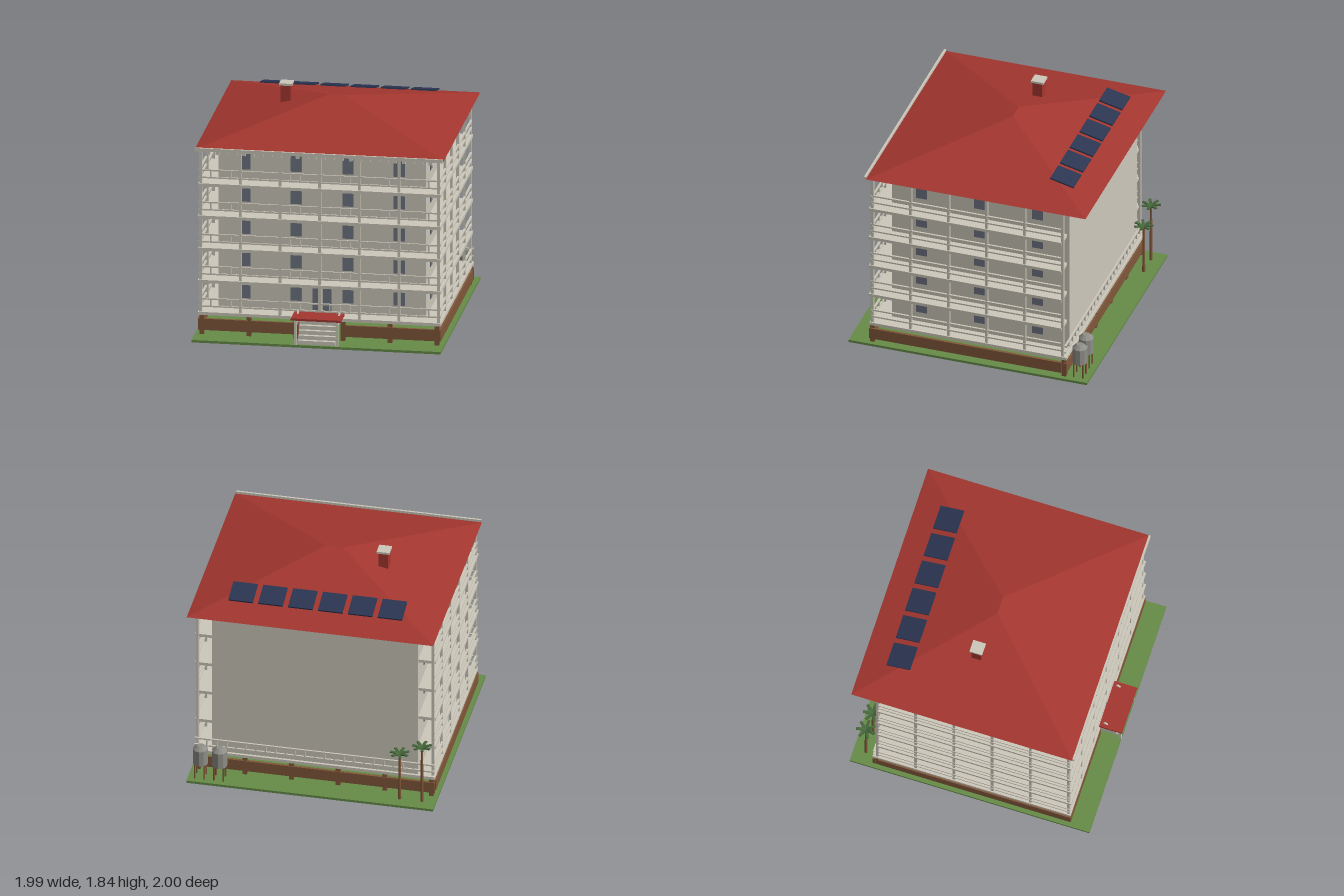
import * as THREE from 'three';

const mat = (name, color, side = THREE.FrontSide) => {
  const m = new THREE.MeshStandardMaterial({ color, side });
  m.name = name;
  return m;
};

export function createModel() {
  const root = new THREE.Group();
  root.name = 'apartmentBlock';
  const plaster = mat('plaster', 0xcdc8bb), glass = mat('windowGlass', 0x6d7382);
  const red = mat('roofRed', 0xa3362f), grass = mat('grass', 0x668c48);
  const wood = mat('brownWood', 0x80573a), navy = mat('solarNavy', 0x2c3652);
  const leaf = mat('palmLeaf', 0x45663a), metal = mat('tankMetal', 0x8f8e88);
  metal.flatShading = true;

  const group = (name, parent = root) => {
    const g = new THREE.Group();
    g.name = name;
    parent.add(g);
    return g;
  };
  const add = (parent, name, geo, m, x = 0, y = 0, z = 0) => {
    const mesh = new THREE.Mesh(geo, m);
    mesh.name = name;
    mesh.position.set(x, y, z);
    parent.add(mesh);
    return mesh;
  };
  // box given by its lower and upper limits on each axis
  const box = (parent, name, m, x0, x1, y0, y1, z0, z1) =>
    add(parent, name, new THREE.BoxGeometry(x1 - x0, y1 - y0, z1 - z0), m,
      (x0 + x1) / 2, (y0 + y1) / 2, (z0 + z1) / 2);
  // square bar between two points in a plane of constant x
  const slopedBar = (parent, name, m, x, y0, z0, y1, z1, t) => {
    const b = add(parent, name, new THREE.BoxGeometry(t, t, Math.hypot(y1 - y0, z1 - z0)), m,
      x, (y0 + y1) / 2, (z0 + z1) / 2);
    b.rotation.x = -Math.atan2(y1 - y0, z1 - z0);
    return b;
  };

  // ground and main block
  box(root, 'lawn', grass, -0.995, 0.995, 0, 0.02, -1, 0.985);
  box(root, 'mainBlock', plaster, -0.83, 0.83, 0.2, 1.55, -0.8, 0.68);

  // raised base with piers and plank bands
  const base = group('base');
  box(base, 'baseSlab', plaster, -0.97, 0.97, 0.178, 0.203, -0.82, 0.82);
  for (const z of [-0.795, 0.8])
    for (let i = 0; i < 6; i++) {
      const x = -0.94 + i * 0.376;
      box(base, 'pier', wood, x - 0.018, x + 0.018, 0.02, 0.178, z - 0.018, z + 0.018);
    }
  for (const s of [-1, 1]) {
    box(base, 'frontBand', wood, s < 0 ? -0.97 : 0.18, s < 0 ? -0.18 : 0.97, 0.055, 0.148, 0.8, 0.822);
    box(base, 'sideBand', wood, s * 0.96 - 0.011, s * 0.96 + 0.011, 0.055, 0.148, -0.775, 0.8);
  }
  box(base, 'backBand', wood, -0.97, 0.97, 0.055, 0.148, -0.82, -0.798);

  // galleries: posts, slabs, rails and balusters
  const galleries = group('galleries');
  const post = (x, z) => box(galleries, 'post', plaster, x - 0.011, x + 0.011, 0.2, 1.55, z - 0.011, z + 0.011);
  for (let i = 0; i < 7; i++) post(-0.95 + i * 0.3167, 0.8);
  for (const x of [-0.95, 0.95])
    for (let i = 1; i < 6; i++) post(x, 0.8 - i * 0.3165);
  const longRailing = (y, z) => {
    for (const dy of [0.045, 0.105])
      box(galleries, 'rail', plaster, -0.968, 0.968, y + dy - 0.006, y + dy + 0.006, z - 0.007, z + 0.007);
    for (let i = 1; i < 24; i++) {
      const x = -0.95 + i * 1.9 / 24;
      box(galleries, 'baluster', plaster, x - 0.006, x + 0.006, y + 0.045, y + 0.105, z - 0.006, z + 0.006);
    }
  };
  const step = 0.2665;
  for (let f = 0; f < 5; f++) {
    const y = 0.203 + f * step;
    if (f) box(galleries, 'gallerySlab', plaster, -0.97, 0.97, y - 0.025, y, -0.78, 0.825);
    longRailing(y, 0.8);
    for (const x of [-0.957, 0.957])
      for (const dy of [0.055, 0.115])
        box(galleries, 'sideRail', plaster, x - 0.008, x + 0.008, y + dy - 0.006, y + dy + 0.006, -0.775, 0.81);
  }
  longRailing(0.203, -0.81);

  // windows on the front and both sides
  const windows = group('windows');
  for (let f = 0; f < 5; f++) {
    const y0 = 0.283 + f * step + 0.008, y1 = y0 + 0.17;
    for (const x of [-0.617, -0.207, 0.207, 0.617])
      box(windows, 'frontWindow', glass, x - 0.045, x + 0.045, y0, y1, 0.678, 0.686);
    for (const z of [0.43, -0.05, -0.535])
      for (const s of [-1, 1])
        box(windows, 'sideWindow', glass, s * 0.832 - 0.004, s * 0.832 + 0.004, y0, y1, z - 0.045, z + 0.045);
  }

  // double front door
  const door = group('frontDoor');
  box(door, 'doorFrame', plaster, -0.1, 0.1, 0.2, 0.48, 0.675, 0.692);
  for (const x of [-0.043, 0.043])
    box(door, 'doorLeaf', glass, x - 0.033, x + 0.033, 0.203, 0.45, 0.69, 0.697);

  // hipped roof: eave rectangle rising to a short ridge
  const roofGeo = new THREE.BufferGeometry();
  const zb = -0.988, zf = 0.842, zr = -0.072, ye = 1.55, yr = 1.77;
  roofGeo.setAttribute('position', new THREE.Float32BufferAttribute([
    -0.995, ye, zf, 0.995, ye, zf, 0.995, ye, zb, -0.995, ye, zb, -0.07, yr, zr, 0.07, yr, zr], 3));
  roofGeo.setIndex([0, 1, 5, 0, 5, 4, 1, 2, 5, 2, 3, 4, 2, 4, 5, 3, 0, 4, 0, 3, 2, 0, 2, 1]);
  const roofFlat = roofGeo.toNonIndexed();
  roofFlat.computeVertexNormals();
  add(root, 'roof', roofFlat, red);
  box(root, 'gutter', plaster, -0.99, 0.99, 1.543, 1.57, 0.842, 0.858);
  for (let i = 0; i < 26; i++) {
    const x = -0.8875 + i * 0.071;
    box(root, 'eaveBlock', plaster, x - 0.014, x + 0.014, 1.508, 1.55, 0.79, 0.815);
  }

  // chimney
  const chimney = group('chimney');
  box(chimney, 'chimneyStack', red, -0.455, -0.375, 1.6, 1.82, -0.165, -0.085);
  box(chimney, 'chimneyCap', plaster, -0.466, -0.364, 1.82, 1.838, -0.178, -0.074);

  // row of tilted solar panels on the back slope
  for (let i = 0; i < 6; i++) {
    const p = add(root, 'solarPanel', new THREE.BoxGeometry(0.197, 0.012, 0.2), navy, -0.602 + i * 0.241, 1.651, -0.692);
    p.rotation.x = -Math.atan(0.25);
  }

  // entrance steps, hand rails and canopy
  const porch = group('entrance');
  for (let i = 0; i < 5; i++)
    box(porch, 'step', plaster, -0.15, 0.15, 0.02, 0.052 + i * 0.032, 0.79, 0.965 - i * 0.031);
  box(porch, 'canopy', red, -0.2, 0.2, 0.226, 0.243, 0.81, 1);
  for (const x of [-0.165, 0.165]) {
    box(porch, 'canopyPost', plaster, x - 0.01, x + 0.01, 0.02, 0.228, 0.965, 0.985);
    slopedBar(porch, 'handRail', plaster, x, 0.145, 0.965, 0.262, 0.845, 0.012);
    box(porch, 'railPost', plaster, x - 0.006, x + 0.006, 0.17, 0.262, 0.839, 0.851);
  }

  // two palms behind the block
  for (const [x, h] of [[-0.885, 0.53], [-0.705, 0.445]]) {
    const palm = group('palm');
    palm.position.set(x, 0.02, -0.9);
    const trunk = h - 0.03;
    add(palm, 'palmTrunk', new THREE.CylinderGeometry(0.009, 0.013, trunk, 8), wood, 0, trunk / 2, 0);
    for (let i = 0; i < 7; i++) {
      const arm = group('palmFrond', palm);
      arm.position.y = trunk - 0.005;
      arm.rotation.set(0, i * Math.PI * 2 / 7, 0);
      const inner = add(arm, 'frondBase', new THREE.BoxGeometry(0.05, 0.009, 0.024), leaf, 0.022, 0.009, 0);
      inner.rotation.z = 0.4;
      const outer = add(arm, 'frondTip', new THREE.BoxGeometry(0.04, 0.008, 0.022), leaf, 0.058, 0.02, 0);
      outer.rotation.z = 0.1;
    }
  }

  // two water tanks on legs
  for (const x of [0.9, 0.745]) {
    const tank = group('waterTank');
    tank.position.set(x, 0, -0.91);
    add(tank, 'tankBody', new THREE.CylinderGeometry(0.061, 0.061, 0.135, 10), metal, 0, 0.2125, 0);
    add(tank, 'tankTop', new THREE.CylinderGeometry(0.028, 0.061, 0.03, 10), metal, 0, 0.295, 0);
    for (const lx of [-0.038, 0.038])
      for (const lz of [-0.038, 0.038])
        add(tank, 'tankLeg', new THREE.CylinderGeometry(0.007, 0.007, 0.13, 6), wood, lx, 0.083, lz);
  }
  return root;
}
